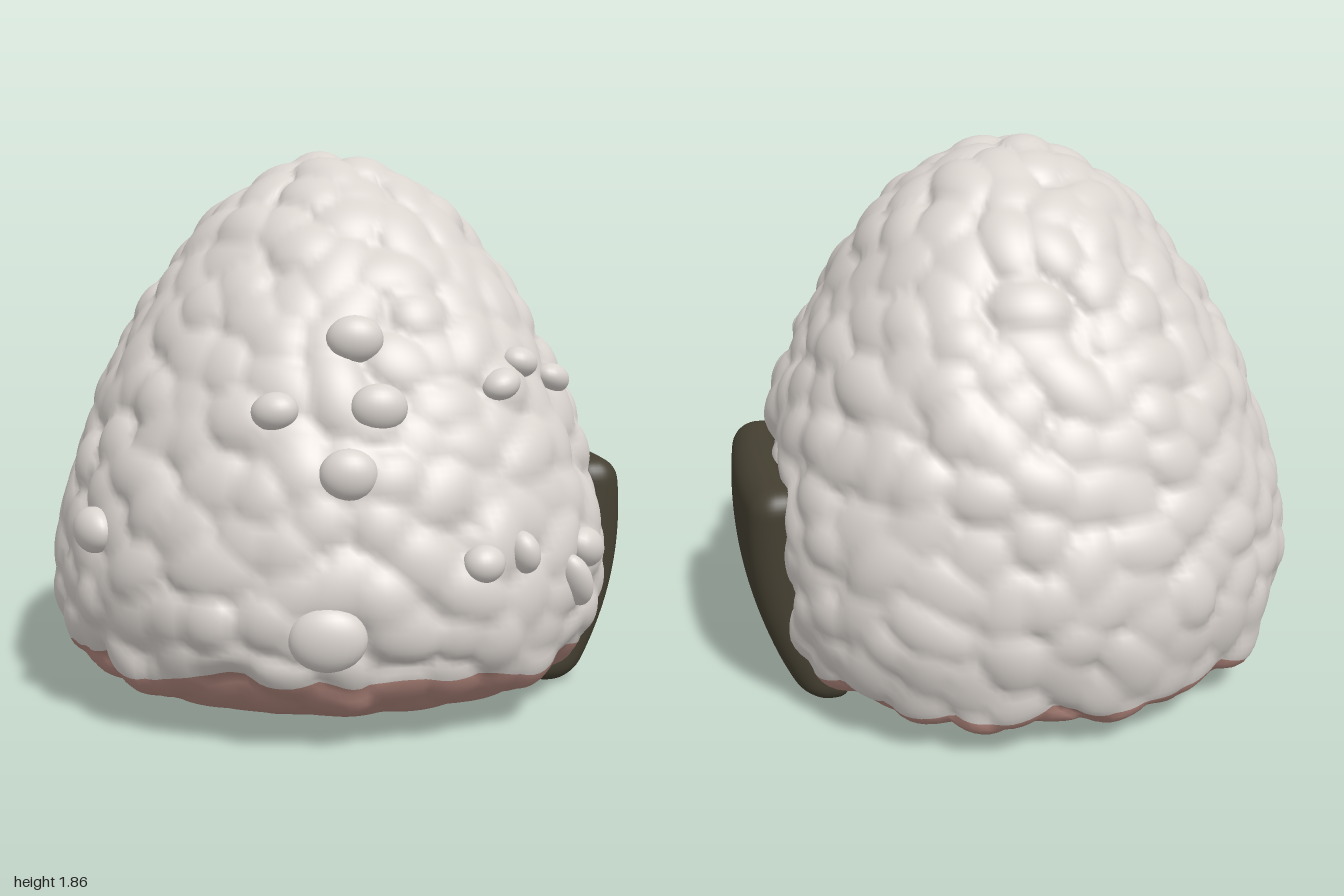
import * as THREE from 'three';
import { mergeVertices } from 'three/addons/utils/BufferGeometryUtils.js';

const rice = new THREE.MeshStandardMaterial({ color: 0xdad4cf });
rice.name = 'riceWhite';
const pink = new THREE.MeshStandardMaterial({ color: 0xb4897f });
pink.name = 'pinkBase';
const seaweed = new THREE.MeshStandardMaterial({ color: 0x443f31 });
seaweed.name = 'seaweedDark';

// Radius and height of the rice ball, bottom to top
const PROFILE = [[0, 0.025], [0.38, 0.025], [0.6, 0.048], [0.77, 0.1], [0.885, 0.2], [0.943, 0.42],
  [0.927, 0.62], [0.877, 0.82], [0.805, 1.02], [0.71, 1.22], [0.587, 1.42], [0.43, 1.62], [0.25, 1.76],
  [0.1, 1.825], [0, 1.835]];
const ROWS = 130;
const EDGE_Y = 0.2;

function seeded(seed) {
  return () => {
    seed = (seed * 1664525 + 1013904223) % 4294967296;
    return seed / 4294967296;
  };
}

// The ball leans slightly, so its centre shifts with height
const centreX = (y) => -0.03 + 0.03 * y;
const centreZ = (y) => -0.016 * y;

// The seaweed side has fuller corners, giving a slightly square plan
const fullness = (a) => 1 + (Math.sin(a) > 0 ? 0.05 : 0.01) * Math.sin(2 * a) ** 2;

// Wavy upper edge of the pink base, higher at the front, with two small peaks
const peak = (a, at) => Math.exp(-(((a - at) / 0.09) ** 2));
const edgeShift = (a) => 0.032 * Math.cos(a) - 0.008 + 0.012 * Math.sin(a * 9) + 0.01 * Math.sin(a * 17 + 1)
  + 0.04 * peak(a, -0.53) + 0.04 * peak(a, -0.2);

function weld(geometry) {
  geometry.deleteAttribute('uv');
  geometry.deleteAttribute('normal');
  return mergeVertices(geometry, 1e-4);
}

// Scatter elongated grains evenly over the surface
function scatterGrains(points, rand) {
  const grains = [];
  for (let i = 0; i < 9000; i++) {
    const p = points[Math.floor(rand() * points.length)];
    const a = rand() * Math.PI * 2;
    if (rand() > p.x) continue;
    const pos = new THREE.Vector3(p.x * Math.sin(a), p.y, p.x * Math.cos(a));
    if (grains.some((g) => g.pos.distanceToSquared(pos) < 0.015)) continue;
    const axis = new THREE.Vector3(rand() - 0.5, rand() - 0.5, rand() - 0.5).normalize();
    grains.push({ pos, axis, height: 0.6 + 0.6 * rand() });
  }
  return grains;
}

function createRiceBall() {
  const curve = new THREE.SplineCurve(PROFILE.map(([r, y]) => new THREE.Vector2(r, y)));
  const points = curve.getSpacedPoints(ROWS);
  points.forEach((p) => { p.x = Math.max(p.x, 0); });
  points[0].x = points[ROWS].x = 0;
  const grains = scatterGrains(points, seeded(7));

  const geo = weld(new THREE.LatheGeometry(points, 220));
  geo.computeVertexNormals();
  const pos = geo.attributes.position;
  const nor = geo.attributes.normal;
  const v = new THREE.Vector3();
  const n = new THREE.Vector3();
  const d = new THREE.Vector3();
  for (let i = 0; i < pos.count; i++) {
    v.fromBufferAttribute(pos, i);
    n.fromBufferAttribute(nor, i);
    let bump = 0;
    for (const g of grains) {
      d.subVectors(v, g.pos);
      if (d.lengthSq() > 0.03) continue;
      const along = d.dot(g.axis);
      const q = (along / 0.165) ** 2 + (d.lengthSq() - along * along) / 0.0105;
      if (q < 1) bump = Math.max(bump, g.height * (1 - q) ** 0.65);
    }
    const a = Math.atan2(v.x, v.z);
    const y = v.y;
    // Grains fade out on the flat underside
    const fade = THREE.MathUtils.smoothstep(y, 0.03, 0.15);
    v.x = Math.min(v.x * fullness(a) + centreX(y), 0.845);
    v.z = v.z * fullness(a) * 1.015 + centreZ(y);
    v.y += edgeShift(a) * Math.exp(-(((y - EDGE_Y) / 0.1) ** 2)) * fade - 0.02 * v.x * (1 - fade);
    v.addScaledVector(n, (0.04 * bump - 0.016) * fade);
    pos.setXYZ(i, v.x, v.y, v.z);
  }
  geo.computeVertexNormals();

  // Pink base and white rice share one smooth surface, divided along a row
  const edgeRow = points.findIndex((p) => p.y > EDGE_Y);
  const lower = [];
  const upper = [];
  const index = geo.index.array;
  for (let i = 0; i < index.length; i += 3) {
    const row = Math.floor(i / 6) % ROWS;
    (row < edgeRow ? lower : upper).push(index[i], index[i + 1], index[i + 2]);
  }
  geo.setIndex([...lower, ...upper]);
  geo.addGroup(0, lower.length, 0);
  geo.addGroup(lower.length, upper.length, 1);
  const mesh = new THREE.Mesh(geo, [pink, rice]);
  mesh.name = 'riceBall';
  return mesh;
}

// Radius of the rice ball at a given height
function radiusAt(y) {
  for (let i = 2; i < PROFILE.length; i++) {
    const [r0, y0] = PROFILE[i - 1];
    const [r1, y1] = PROFILE[i];
    if (y <= y1) return r0 + ((r1 - r0) * (y - y0)) / (y1 - y0);
  }
  return 0;
}

// Loose grains: x, y, half width, half height, roll
const LOOSE = [[-0.07, 1.26, 0.09, 0.075, 0], [-0.33, 1.05, 0.075, 0.06, 0.2], [-0.02, 1.06, 0.09, 0.075, 0],
  [-0.13, 0.87, 0.09, 0.08, 0], [-0.21, 0.39, 0.12, 0.1, 0], [0.4, 1.11, 0.07, 0.05, 0.3],
  [0.49, 1.17, 0.07, 0.05, -0.2], [0.65, 1.1, 0.08, 0.05, -0.3], [0.28, 0.59, 0.07, 0.06, 0.1],
  [0.42, 0.61, 0.05, 0.07, 0.3], [0.64, 0.48, 0.05, 0.1, 0.5], [0.7, 0.57, 0.09, 0.065, -0.4],
  [-0.86, 0.64, 0.09, 0.075, 0]];

function createLooseGrains() {
  const group = new THREE.Group();
  group.name = 'looseGrains';
  const sphere = new THREE.SphereGeometry(1, 24, 16);
  for (const [x, y, w, h, roll] of LOOSE) {
    const dx = x - centreX(y);
    const base = radiusAt(y);
    const r = base * fullness(Math.asin(dx / base)) + 0.015;
    const z = Math.sqrt(r * r - dx * dx);
    const grain = new THREE.Mesh(sphere, rice);
    grain.name = 'looseGrain';
    grain.position.set(x, y, z + centreZ(y));
    grain.rotation.set(0, Math.atan2(dx, z), roll, 'YXZ');
    grain.scale.set(w, h, 0.06);
    group.add(grain);
  }
  return group;
}

// Rounded slab bent under the rice ball
function createSeaweed() {
  const half = new THREE.Vector3(0.085, 0.398, 0.385);
  const radius = 0.075;
  const geo = weld(new THREE.BoxGeometry(half.x * 2, half.y * 2, half.z * 2, 12, 44, 44));
  const pos = geo.attributes.position;
  const v = new THREE.Vector3();
  const core = new THREE.Vector3();
  const inner = half.clone().subScalar(radius);
  for (let i = 0; i < pos.count; i++) {
    v.fromBufferAttribute(pos, i);
    core.copy(v).clamp(inner.clone().negate(), inner);
    v.sub(core).setLength(radius).add(core);
    const y = v.y + 0.398;
    const z = v.z;
    const bend = 0.17 * Math.max(0, (0.6 - y) / 0.6) ** 2.1 + 0.02 * Math.max(0, (y - 0.6) / 0.2) ** 2;
    pos.setXYZ(i, v.x + 0.915 - bend - 0.03 * (z / 0.385) ** 2, y, z - 0.012);
  }
  geo.computeVertexNormals();
  const mesh = new THREE.Mesh(geo, seaweed);
  mesh.name = 'seaweedWrap';
  return mesh;
}

export function createModel() {
  const model = new THREE.Group();
  model.name = 'riceBallModel';
  model.add(createRiceBall(), createLooseGrains(), createSeaweed());
  return model;
}
